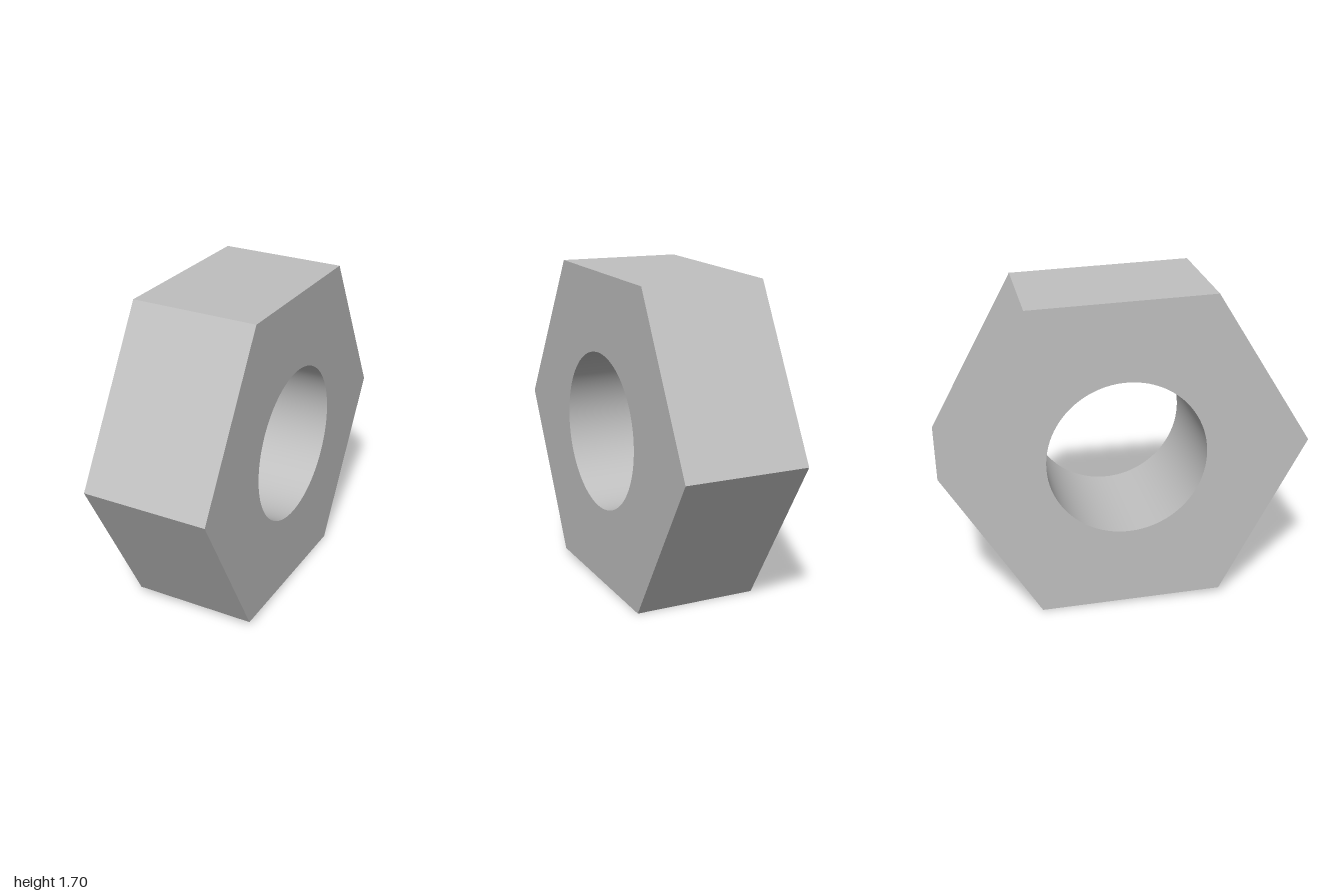
import * as THREE from 'three';
import { toCreasedNormals } from 'three/addons/utils/BufferGeometryUtils.js';

export function createModel() {
  const group = new THREE.Group();
  group.name = 'hexNut';
  const steel = new THREE.MeshStandardMaterial({ color: 0xc0c0c0 });
  steel.name = 'steel grey';

  const cornerRadius = 0.963, holeRadius = 0.418, thickness = 0.665;
  const roll = THREE.MathUtils.degToRad(-1.8);

  // Hexagonal outline, rolled slightly about the bore
  const corners = [];
  for (let i = 0; i < 6; i++) {
    const a = roll + (i * Math.PI) / 3;
    corners.push(new THREE.Vector2(cornerRadius * Math.cos(a), cornerRadius * Math.sin(a)));
  }
  const outline = new THREE.Shape(corners);

  // Round through hole
  outline.holes.push(new THREE.Path().absarc(0, 0, holeRadius, 0, Math.PI * 2, true));

  const body = new THREE.ExtrudeGeometry(outline, {
    depth: thickness, bevelEnabled: false, curveSegments: 48,
  });
  body.translate(0, 0, -thickness / 2);

  const nut = new THREE.Mesh(toCreasedNormals(body, 0.5), steel);
  nut.name = 'nutBody';
  nut.rotation.y = Math.PI / 3;
  nut.position.y = cornerRadius * Math.sin(Math.PI / 3 - roll);
  group.add(nut);
  return group;
}
